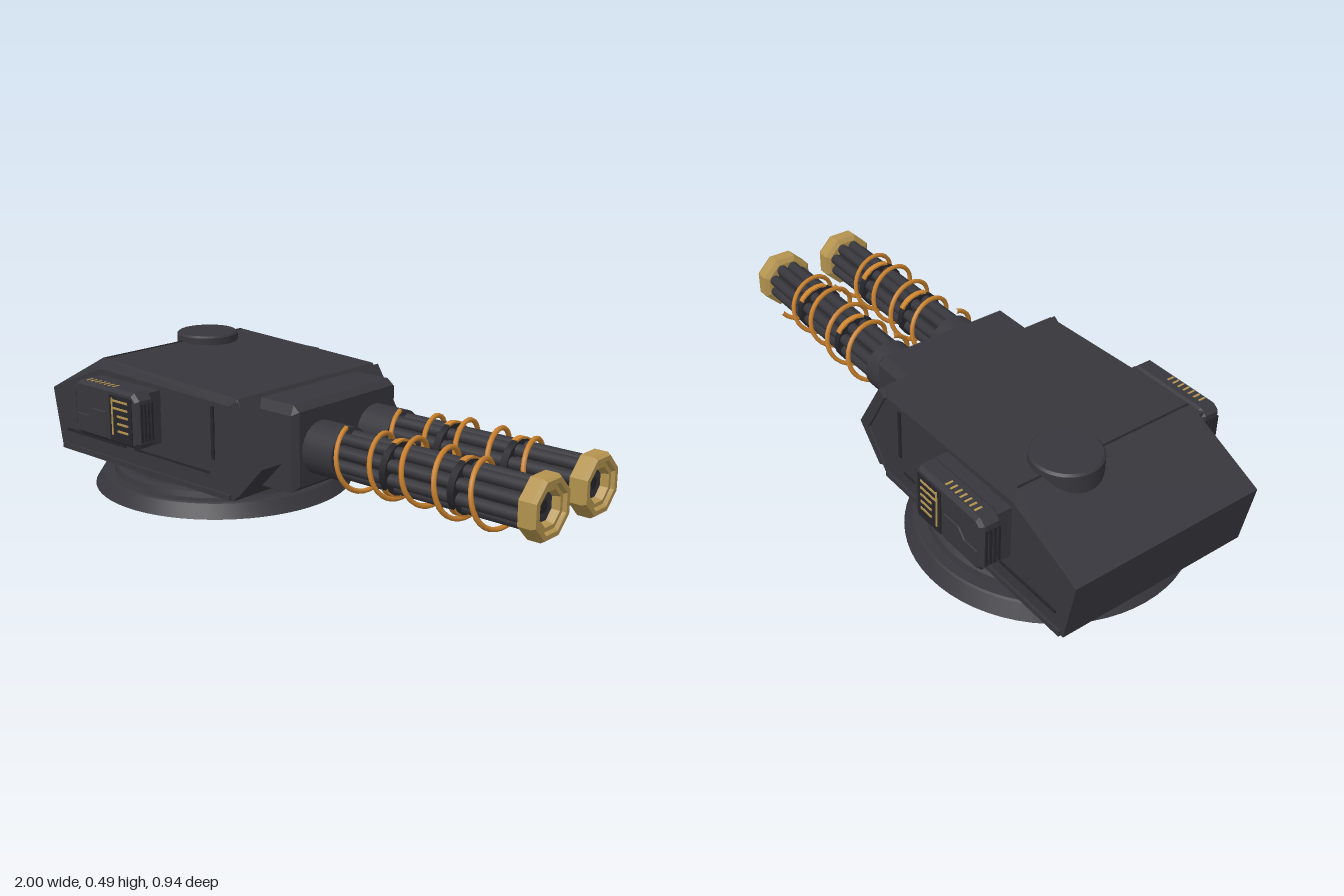
import * as THREE from 'three';
import { toCreasedNormals } from 'three/addons/utils/BufferGeometryUtils.js';
import { ConvexGeometry } from 'three/addons/geometries/ConvexGeometry.js';

const armour = new THREE.MeshStandardMaterial({ color: 0x36363c });
const gunmetal = new THREE.MeshStandardMaterial({ color: 0x26262b });
const brass = new THREE.MeshStandardMaterial({ color: 0xb3934f });
const copper = new THREE.MeshStandardMaterial({ color: 0xcc832e });

const HALF_PI = Math.PI / 2;

function add(parent, name, geometry, material, x = 0, y = 0, z = 0) {
  const mesh = new THREE.Mesh(geometry, material);
  mesh.name = name;
  mesh.position.set(x, y, z);
  parent.add(mesh);
  return mesh;
}

const box = (w, h, d) => new THREE.BoxGeometry(w, h, d);
const lathe = (pts, sides) =>
  toCreasedNormals(new THREE.LatheGeometry(pts.map(p => new THREE.Vector2(...p)), sides), 0.4);
// Cylinder lying along x
const rod = (r, length, sides) => new THREE.CylinderGeometry(r, r, length, sides).rotateZ(-HALF_PI);

// Convex solid from [x, y, halfWidth] corners mirrored in z
function hull(corners) {
  const pts = [];
  for (const [x, y, w] of corners) {
    pts.push(new THREE.Vector3(x, y, w), new THREE.Vector3(x, y, -w));
  }
  return new ConvexGeometry(pts);
}

// Plate cut from an xy outline, centred in z
function plate(outline, depth, bevel = 0) {
  const shape = new THREE.Shape(outline.map(p => new THREE.Vector2(...p)));
  const core = depth - 2 * bevel;
  return new THREE.ExtrudeGeometry(shape, {
    depth: core, bevelEnabled: bevel > 0, bevelThickness: bevel,
    bevelSize: bevel, bevelOffset: -bevel, bevelSegments: 1,
  }).translate(0, 0, -core / 2);
}

function buildBase() {
  const base = new THREE.Group();
  base.name = 'turntable';
  base.position.x = -0.47;
  add(base, 'baseRing', lathe([
    [0, 0], [0.466, 0], [0.437, 0.046], [0.43, 0.05], [0.398, 0.052], [0.392, 0.072],
    [0.375, 0.08], [0.355, 0.08], [0.355, 0.1], [0, 0.1],
  ], 64), armour);
  return base;
}

function buildHull() {
  const body = new THREE.Group();
  body.name = 'turretBody';
  add(body, 'shell', hull([
    [-1, 0.31, 0.352], [-0.96, 0.09, 0.352], [-0.06, 0.09, 0.352], [0.07, 0.225, 0.348],
    [-0.05, 0.405, 0.349], [-0.05, 0.432, 0.335], [-0.72, 0.425, 0.352], [-0.72, 0.462, 0.335],
  ]), armour);
  // Front block that carries the guns
  add(body, 'gunMount', hull([
    [-0.05, 0.42, 0.235], [0.1, 0.42, 0.235], [0.125, 0.4, 0.235],
    [-0.05, 0.39, 0.258], [0.11, 0.39, 0.258],
    [-0.02, 0.13, 0.258], [0.11, 0.135, 0.258], [0.127, 0.15, 0.235],
  ]), armour);
  // Roof hatch with a lip
  add(body, 'hatch', lathe([
    [0.113, -0.05], [0.113, 0.022], [0.106, 0.029], [0, 0.029],
  ], 40), armour, -0.69, 0.46, -0.135);
  add(body, 'roofSeam', box(0.006, 0.004, 0.66), gunmetal, -0.71, 0.462, 0);

  const chevron = [[-0.075, 0.405], [-0.045, 0.425], [0.077, 0.228], [-0.03, 0.112],
    [-0.055, 0.125], [0.03, 0.228]];
  for (const s of [1, -1]) {
    add(body, 'cheekPlate', plate(chevron, 0.02), armour, 0, 0, s * 0.348);
    add(body, 'sideSkirt', box(0.88, 0.018, 0.02), armour, -0.51, 0.1, s * 0.351);
    add(body, 'sideRail', box(0.33, 0.01, 0.008), gunmetal, -0.76, 0.165, s * 0.353);
    add(body, 'sideSlot', box(0.012, 0.18, 0.008), gunmetal, -0.15, 0.305, s * 0.352);
    add(body, 'rearSeam', box(0.38, 0.008, 0.006), gunmetal, -0.36, 0.165, s * 0.352);
  }
  // Brass strip and fins beneath the front block
  add(body, 'chinStrip', box(0.02, 0.018, 0.29), brass, -0.052, 0.094, 0.005);
  for (let i = 0; i < 3; i++) {
    add(body, 'chinFin', box(0.008, 0.004, 0.22), brass, -0.036 + i * 0.008, 0.108 + i * 0.008, 0.01);
  }
  return body;
}

function buildPod(s) {
  const pod = new THREE.Group();
  pod.name = s > 0 ? 'leftPod' : 'rightPod';
  const outer = [[-0.725, 0.235], [-0.71, 0.217], [-0.405, 0.217], [-0.39, 0.235],
    [-0.39, 0.385], [-0.415, 0.41], [-0.7, 0.41], [-0.725, 0.39]];
  add(pod, 'podCollar', box(0.31, 0.185, 0.06), armour, -0.56, 0.31, s * 0.37);
  add(pod, 'podCase', plate(outer, 0.075, 0.012), armour, 0, 0, s * 0.428);
  // Raised access cover with a notched top
  add(pod, 'podCover', plate([[-0.71, 0.23], [-0.55, 0.23], [-0.55, 0.325], [-0.62, 0.325],
    [-0.65, 0.295], [-0.71, 0.295]], 0.012, 0.003), armour, 0, 0, s * 0.464);
  // Grille
  add(pod, 'grilleFrame', box(0.115, 0.16, 0.01), gunmetal, -0.475, 0.31, s * 0.464);
  for (let i = 0; i < 5; i++) {
    add(pod, 'grilleSlat', box(i < 2 ? 0.08 : 0.055, 0.007, 0.006), brass,
      i < 2 ? -0.475 : -0.462, 0.372 - i * 0.026, s * 0.469);
  }
  add(pod, 'grilleEdge', box(0.006, 0.13, 0.006), brass, -0.515, 0.315, s * 0.469);
  // Brass markers along the top edge
  for (let i = 0; i < 7; i++) {
    add(pod, 'topMarker', box(0.007, 0.004, 0.026), brass, -0.67 + i * 0.023, 0.41, s * 0.436);
  }
  // Ribs on both end faces
  for (const x of [-0.724, -0.391]) {
    for (let i = 0; i < 4; i++) {
      add(pod, 'endRib', box(0.014, 0.13, 0.007), gunmetal, x, 0.31, s * (0.405 + i * 0.015));
    }
  }
  return pod;
}

class Helix extends THREE.Curve {
  getPoint(t, target = new THREE.Vector3()) {
    const a = t * Math.PI * 2 * 4.6 + 0.3;
    const r = 0.1 + 0.006 * Math.sin(a * 0.7);
    return target.set(0.26 + 0.58 * t, r * Math.cos(a), r * Math.sin(a));
  }
}

function buildGun(s) {
  const gun = new THREE.Group();
  gun.name = s > 0 ? 'leftGun' : 'rightGun';
  gun.position.set(0, 0.265, s * 0.134);
  add(gun, 'sleeve', rod(0.09, 0.15, 24), armour, 0.175);
  add(gun, 'core', rod(0.052, 0.72, 16), gunmetal, 0.6);
  // Ring of slim barrels around the core
  for (let i = 0; i < 8; i++) {
    const a = (i + 0.5) * Math.PI / 4;
    add(gun, 'barrel', rod(0.02, 0.71, 10), armour, 0.595, 0.06 * Math.cos(a), 0.06 * Math.sin(a));
  }
  // Clamps with a copper band on each side
  for (const x of [0.45, 0.705]) {
    add(gun, 'clamp', rod(0.086, 0.024, 16), gunmetal, x);
    for (const a of [0.6, 0.6 + Math.PI]) {
      const band = new THREE.CylinderGeometry(0.092, 0.092, 0.02, 8, 1, false, a, 1.3).rotateZ(-HALF_PI);
      add(gun, 'clampBand', band, copper, x);
    }
  }
  add(gun, 'coil', new THREE.TubeGeometry(new Helix(), 130, 0.0085, 6), copper);
  const tail = add(gun, 'coilTail', box(0.035, 0.01, 0.012), copper, 0.885, -0.075, -s * 0.085);
  tail.rotation.set(0.3, 0.6, 0.4);
  // Eight-sided stepped muzzle
  const cap = lathe([[0, 0], [0.085, 0], [0.102, 0.01], [0.102, 0.054], [0.094, 0.066], [0.078, 0.066],
    [0.07, 0.056], [0.057, 0.056], [0.05, 0.03]], 8).rotateZ(-HALF_PI).rotateX(Math.PI / 8);
  add(gun, 'muzzle', cap, brass, 0.934);
  add(gun, 'muzzleFloor', rod(0.054, 0.03, 8).rotateX(Math.PI / 8), armour, 0.95);
  add(gun, 'bore', rod(0.022, 0.006, 6), gunmetal, 0.966);
  return gun;
}

export function createModel() {
  const model = new THREE.Group();
  model.name = 'gunTurret';
  model.add(buildBase(), buildHull());
  for (const s of [1, -1]) model.add(buildPod(s), buildGun(s));
  return model;
}
